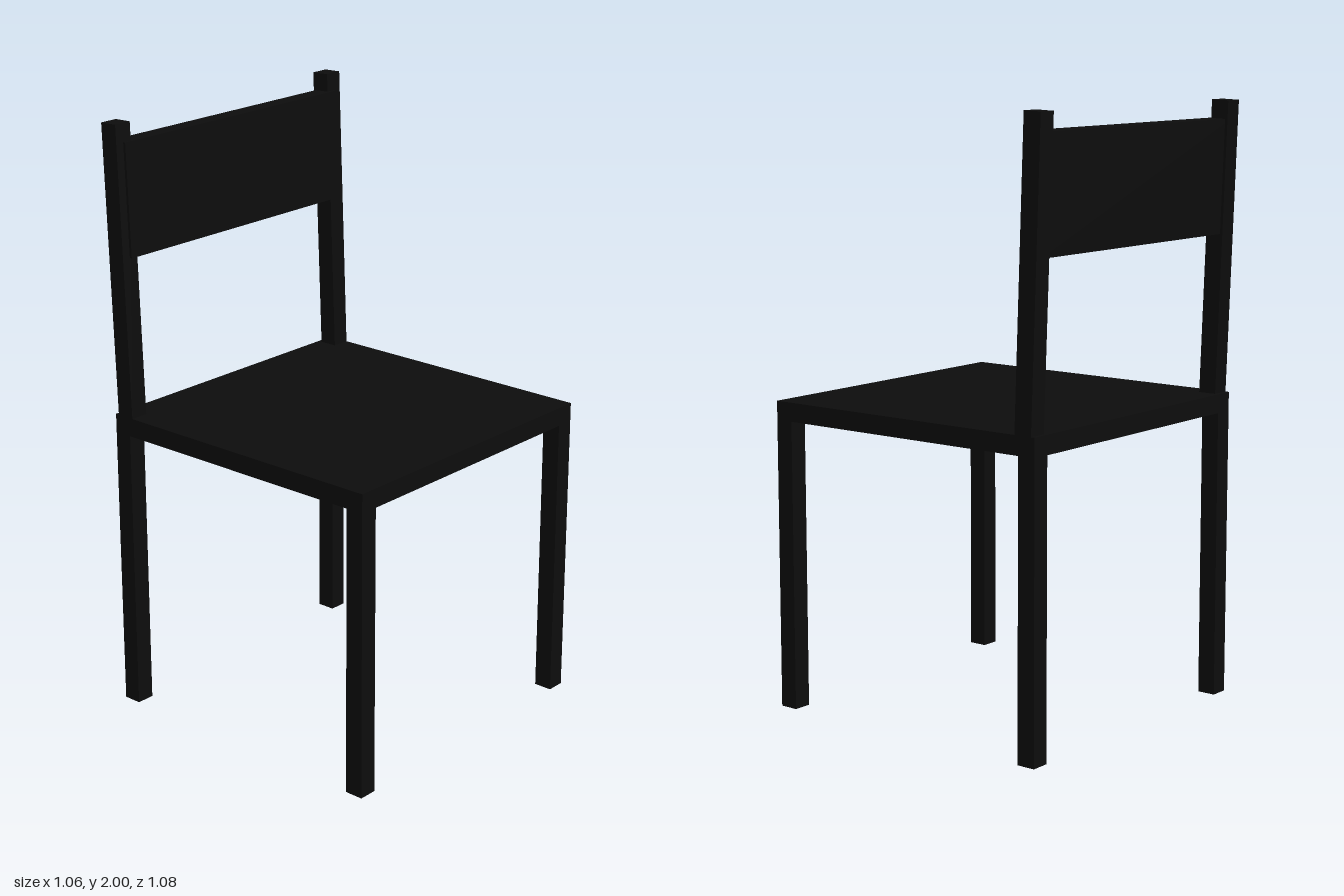
import * as THREE from 'three';

const BAR = 0.063; // thickness shared by legs, seat and back

export function createModel() {
  const chair = new THREE.Group();
  chair.name = 'chair';
  const material = new THREE.MeshStandardMaterial({ color: 0x0d0d0d });

  function box(name, size, position, parent = chair) {
    const mesh = new THREE.Mesh(new THREE.BoxGeometry(...size), material);
    mesh.name = name;
    mesh.position.set(...position);
    parent.add(mesh);
    return mesh;
  }

  // Flat square seat
  box('seat', [1.06, BAR, 1.06], [0, 1, 0.01]);

  // Four straight legs, flush with the seat corners
  const legHeight = 1 - BAR / 2;
  for (const [side, x] of [['left', 0.4985], ['right', -0.4985]]) {
    for (const [end, z] of [['Front', 0.5085], ['Back', -0.4885]]) {
      box(side + end + 'Leg', [BAR, legHeight, BAR], [x, legHeight / 2, z]);
    }
  }

  // Backrest leans back slightly, pivoting at the seat
  const back = new THREE.Group();
  back.name = 'backrest';
  back.position.set(0, 1, -0.474);
  back.rotation.x = -0.035;
  chair.add(back);
  box('leftBackPost', [BAR, 1, BAR], [0.4985, 0.5, 0], back);
  box('rightBackPost', [BAR, 1, BAR], [-0.4985, 0.5, 0], back);

  // Wide back panel, set a little ahead of the posts
  box('backPanel', [1, 0.375, BAR], [0, 0.752, 0.009], back);

  return chair;
}
